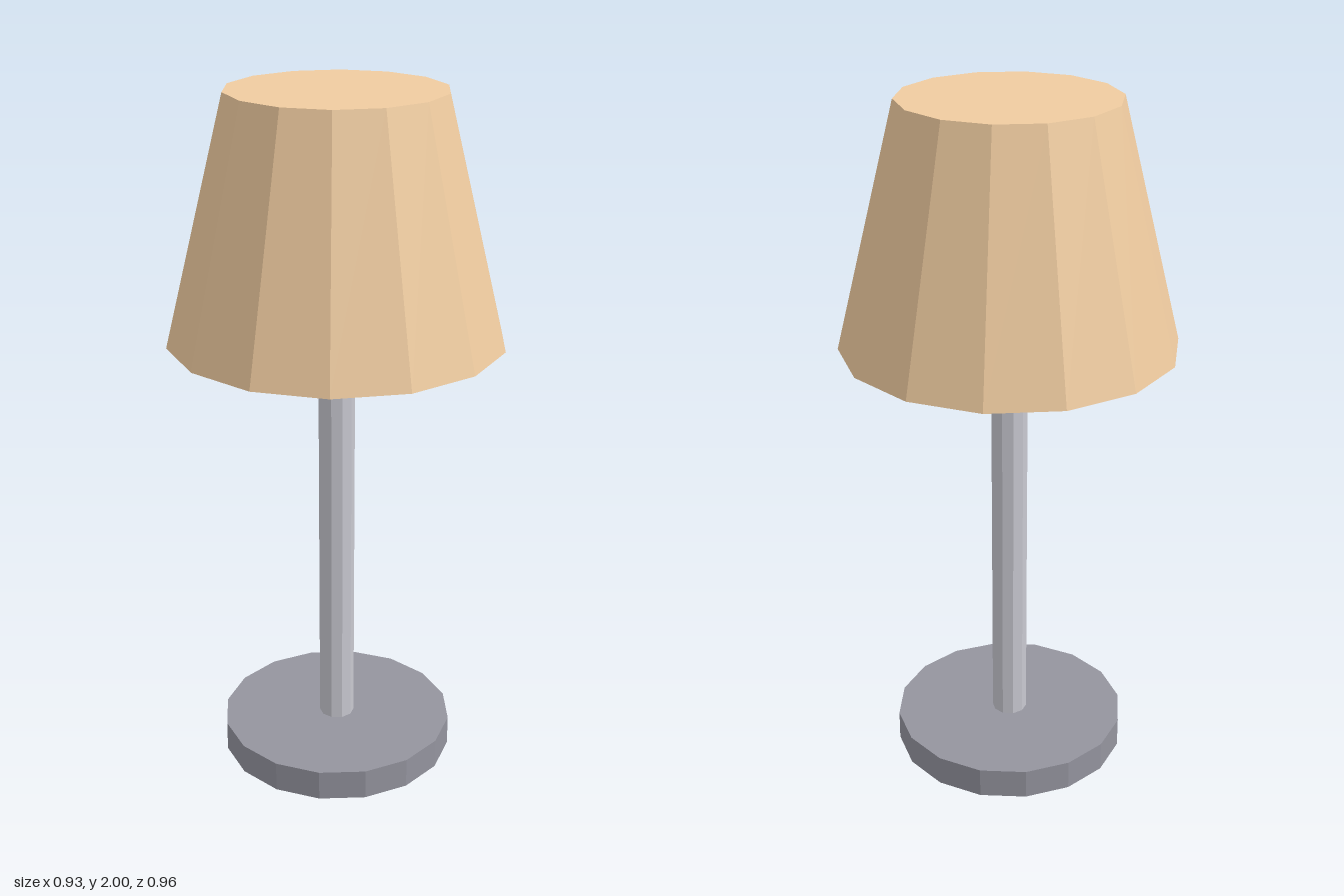
import * as THREE from 'three';

// Faceted cylinder or cone standing between two heights
function drum(name, rTop, rBottom, y0, y1, sides, color) {
  const geometry = new THREE.CylinderGeometry(rTop, rBottom, y1 - y0, sides);
  const material = new THREE.MeshStandardMaterial({ color, flatShading: true });
  const mesh = new THREE.Mesh(geometry, material);
  mesh.name = name;
  mesh.position.y = (y0 + y1) / 2;
  return mesh;
}

export function createModel() {
  const lamp = new THREE.Group();
  lamp.name = 'tableLamp';
  lamp.add(
    // Flat round foot
    drum('base', 0.346, 0.346, 0, 0.09, 16, 0x94949e),
    // Slim post, from the foot up to the underside of the shade
    drum('pole', 0.052, 0.052, 0.09, 1.31, 10, 0xc8c8d0),
    // Closed tapering shade
    drum('shade', 0.305, 0.478, 1.308, 2, 14, 0xf0cca0),
  );
  return lamp;
}
